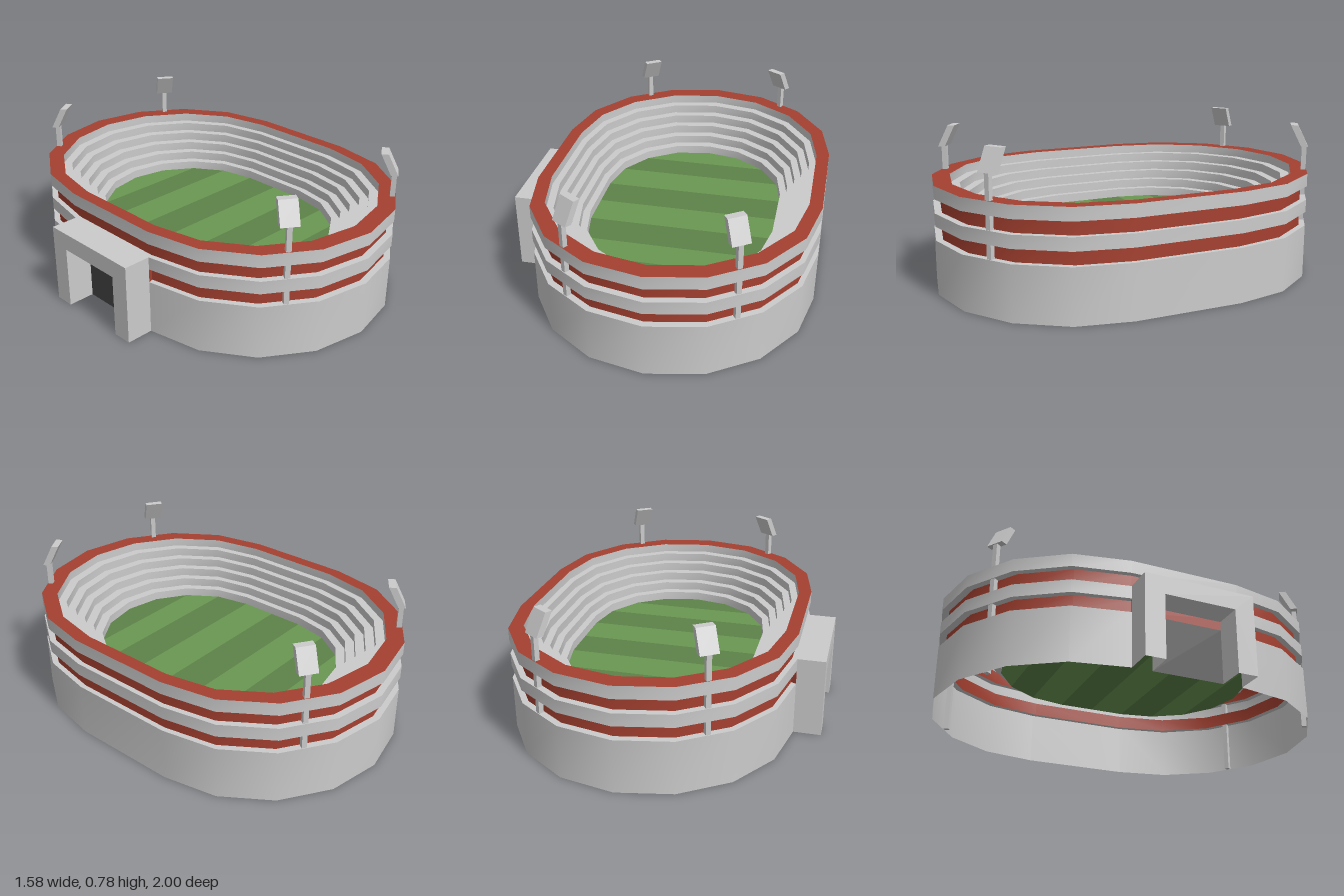
import * as THREE from 'three';

const CX = 0.07, R = 0.72, HALF = 0.28; // bowl centre, end radius, half of the straight side
const LEFT = 8;                         // index of the straight segment behind the gate
const mat = (color) => new THREE.MeshStandardMaterial({ color, side: THREE.DoubleSide });
const grey = mat(0xcccccc), red = mat(0xa54030), dark = mat(0x444444);
const grass = [mat(0x6a9752), mat(0x5d8249)];

// Point i (of 18) of the oval outline, scaled by s about the centre
function outline(i, s, y) {
  i = i % 18;
  const front = i < 9;
  const a = (front ? i : i - 1) * Math.PI / 8;
  return [CX + R * s * Math.cos(a), y, s * ((front ? HALF : -HALF) + R * Math.sin(a))];
}

function makeMesh(name, positions, index, material) {
  const g = new THREE.BufferGeometry();
  g.setAttribute('position', new THREE.Float32BufferAttribute(positions, 3));
  g.setIndex(index);
  g.computeVertexNormals();
  const m = new THREE.Mesh(g, material);
  m.name = name;
  return m;
}

// Closed oval strip between two [scale, height] pairs, optionally open at the gate
function ring(name, [s0, y0], [s1, y1], material, gap = false) {
  const pos = [], idx = [];
  for (let i = 0; i < 18; i++) {
    pos.push(...outline(i, s0, y0), ...outline(i, s1, y1));
    if (gap && i === LEFT) continue;
    const a = 2 * i, n = 2 * ((i + 1) % 18);
    idx.push(a, a + 1, n, n, a + 1, n + 1);
  }
  return makeMesh(name, pos, idx, material);
}

const quad = (name, a, b, c, d, material) =>
  makeMesh(name, [...a, ...b, ...c, ...d], [0, 1, 2, 0, 2, 3], material);

function bowl() {
  const g = new THREE.Group();
  g.name = 'bowl';
  // Outer facade: lower wall, then two recessed red bands under grey bands
  const IN = 0.965;
  g.add(
    ring('lowerWall', [1, 0], [1, 0.275], grey, true),
    ring('lowerLedge', [1, 0.275], [IN, 0.275], grey, true),
    ring('lowerRedBand', [IN, 0.275], [IN, 0.345], red, true),
    ring('middleBandUnderside', [IN, 0.345], [1, 0.345], grey, true),
    ring('middleBand', [1, 0.345], [1, 0.41], grey),
    ring('upperLedge', [1, 0.41], [IN, 0.41], grey),
    ring('upperRedBand', [IN, 0.41], [IN, 0.48], red),
    ring('topBandUnderside', [IN, 0.48], [1, 0.48], grey),
    ring('topBand', [1, 0.48], [1, 0.545], grey),
    ring('rim', [1, 0.545], [0.91, 0.545], red),
  );
  // Stepped seating down to the field
  const steps = 5, rise = 0.27 / (steps + 1), tread = (0.91 - 0.667) / steps;
  for (let k = 0; k <= steps; k++) {
    const s = 0.91 - k * tread, y = 0.545 - k * rise;
    g.add(ring('seatingRiser', [s, y], [s, y - rise], grey));
    if (k < steps) g.add(ring('seatingTread', [s, y - rise], [s - tread, y - rise], grey));
  }
  return g;
}

// Striped field, cut at the outline corners and the middle
function field() {
  const g = new THREE.Group();
  g.name = 'field';
  const pairs = [];
  for (let i = 13; i >= 9; i--) pairs.push([outline(i, 0.667, 0.275), outline(26 - i + 1 - 1, 0.667, 0.275)]);
  const rows = pairs.map(([p]) => [Math.abs(p[0] - CX), p[2]]);
  const all = [...rows, [R * 0.667, 0], ...rows.map(([w, z]) => [w, -z]).reverse()];
  for (let k = 0; k < all.length - 1; k++) {
    const [w0, z0] = all[k], [w1, z1] = all[k + 1];
    // the two narrow rows at each end share one stripe colour
    const stripe = Math.min(Math.max(k - 1, 0), 7) % 2;
    g.add(quad('fieldStripe', [CX - w0, 0.275, z0], [CX - w1, 0.275, z1],
      [CX + w1, 0.275, z1], [CX + w0, 0.275, z0], grass[stripe]));
  }
  return g;
}

// Gate: hollow portal with two legs, and a dark doorway in the wall line
function gate() {
  const g = new THREE.Group();
  g.name = 'gate';
  const xo = -0.79, xi = CX - R, H = 0.41, W = HALF, w = 0.18, h = 0.32;
  const path = [[-W, 0], [-W, H], [W, H], [W, 0], [w, 0], [w, h], [-w, h], [-w, 0]];
  const face = new THREE.Shape(path.map(([z, y]) => new THREE.Vector2(z, y)));
  const front = new THREE.Mesh(new THREE.ShapeGeometry(face), grey);
  front.name = 'gateFace';
  front.rotation.y = -Math.PI / 2;
  front.position.x = xo;
  g.add(front);
  for (const k of [0, 1, 2, 4, 5, 6]) {
    const [z0, y0] = path[k], [z1, y1] = path[k + 1];
    g.add(quad('gateSide', [xo, y0, z0], [xi, y0, z0], [xi, y1, z1], [xo, y1, z1], grey));
  }
  g.add(quad('doorway', [xi, 0, -w], [xi, 0, w], [xi, 0.275, w], [xi, 0.275, -w], dark));
  // Red band brought forward to the gate, with its two returns
  g.add(quad('gateRedBand', [xi, 0.275, -W], [xi, 0.275, W], [xi, 0.345, W], [xi, 0.345, -W], red));
  for (const i of [LEFT, LEFT + 1]) {
    g.add(quad('gateRedReturn', outline(i, 1, 0.275), outline(i, 0.965, 0.275),
      outline(i, 0.965, 0.345), outline(i, 1, 0.345), red));
  }
  return g;
}

// Floodlight: square pole with a lamp panel leaning inwards
function floodlight(sx, sz) {
  const g = new THREE.Group();
  g.name = 'floodlight';
  const pole = new THREE.Mesh(new THREE.BoxGeometry(0.025, 0.68, 0.025), grey);
  pole.name = 'floodlightPole';
  pole.position.y = 0.34;
  const geo = new THREE.BoxGeometry(0.092, 0.11, 0.036);
  const p = geo.attributes.position;
  for (let i = 0; i < p.count; i++) p.setZ(i, p.getZ(i) - (p.getY(i) + 0.055) * 0.5);
  geo.computeVertexNormals();
  const lamp = new THREE.Mesh(geo, grey);
  lamp.name = 'floodlightLamp';
  lamp.position.y = 0.725;
  g.add(pole, lamp);
  g.position.set(CX + sx * 0.397, 0, sz * 0.845);
  // local +z points outwards, square to the wall
  const n = 56.25 * Math.PI / 180;
  g.rotation.y = Math.atan2(sx * Math.cos(n), sz * Math.sin(n));
  return g;
}

export function createModel() {
  const model = new THREE.Group();
  model.name = 'stadium';
  model.add(bowl(), field(), gate());
  for (const sx of [-1, 1]) for (const sz of [-1, 1]) model.add(floodlight(sx, sz));
  return model;
}
